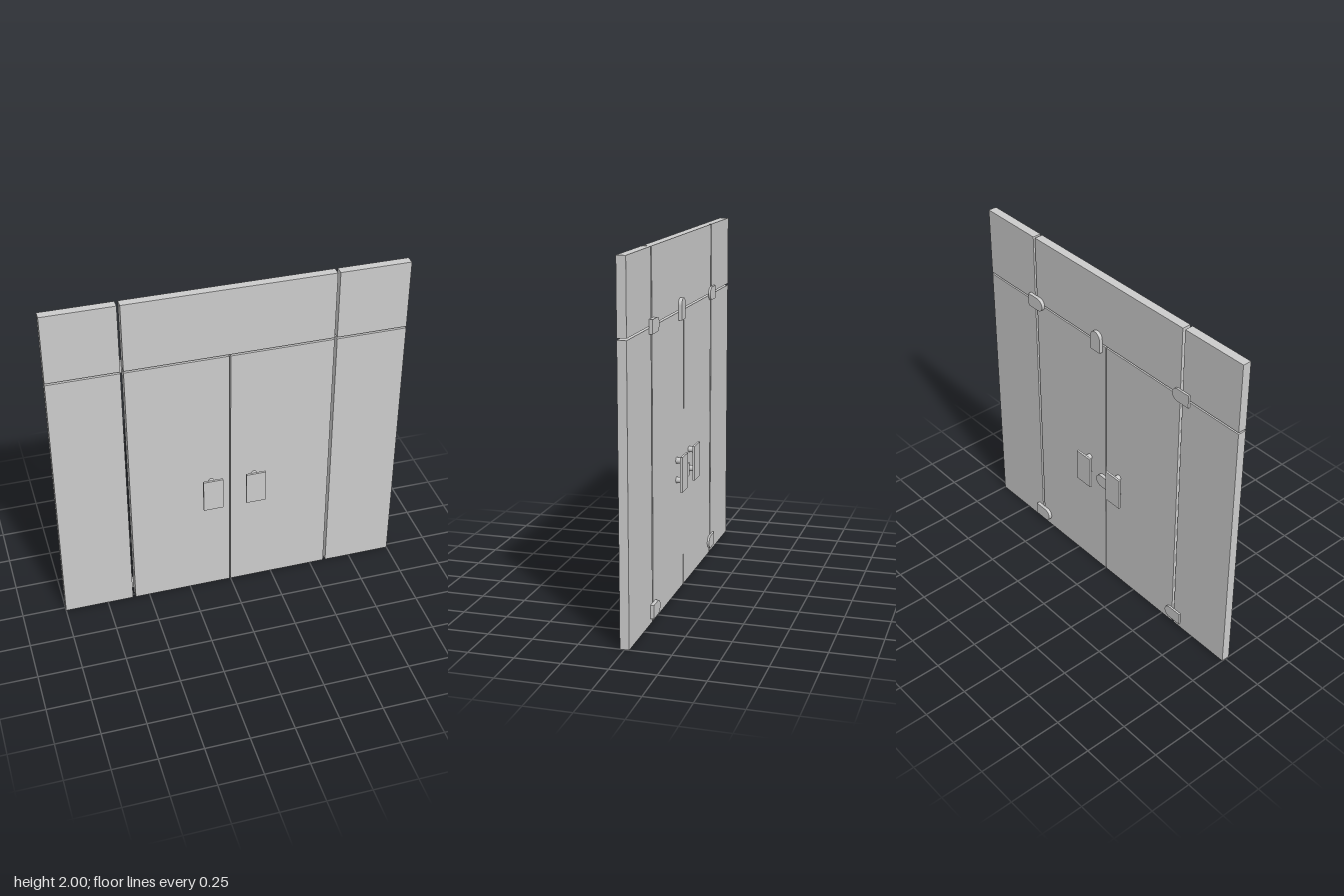
import * as THREE from 'three';

const material = new THREE.MeshStandardMaterial({ color: 0xcccccc });

function add(parent, name, geometry, x, y, z) {
  const mesh = new THREE.Mesh(geometry, material);
  mesh.name = name;
  mesh.position.set(x, y, z);
  parent.add(mesh);
  return mesh;
}

// Flat plate given by its edges
function panel(parent, name, x0, x1, y0, y1, z0, z1) {
  return add(parent, name, new THREE.BoxGeometry(x1 - x0, y1 - y0, z1 - z0),
    (x0 + x1) / 2, (y0 + y1) / 2, (z0 + z1) / 2);
}

// Clamp plate: square at -x, rounded at +x, turned by angle
function clamp(parent, name, x, y, angle, depth) {
  const s = new THREE.Shape();
  s.moveTo(-0.06, -0.038);
  s.lineTo(0.022, -0.038);
  s.absarc(0.022, 0, 0.038, -Math.PI / 2, Math.PI / 2, false);
  s.lineTo(-0.06, 0.038);
  s.closePath();
  const geometry = new THREE.ExtrudeGeometry(s, { depth, bevelEnabled: false, curveSegments: 16 });
  add(parent, name, geometry, x, y, -0.025 - depth).rotation.z = angle;
}

// Front and back grip plates joined by two posts through the glass
function handle(x) {
  const g = new THREE.Group();
  g.name = 'doorHandle';
  g.position.x = x;
  for (const side of [-1, 1]) {
    add(g, 'gripPlate', new THREE.BoxGeometry(0.115, 0.2, 0.013), 0, 0.703, side * 0.0685);
    for (const y of [0.658, 0.77]) {
      add(g, 'handlePost', new THREE.CylinderGeometry(0.017, 0.017, 0.042, 24), 0, y, side * 0.043)
        .rotation.x = Math.PI / 2;
    }
  }
  return g;
}

export function createModel() {
  const model = new THREE.Group();
  model.name = 'glassDoorPartition';

  // Glass panels: lower row of sidelights and doors, upper row of transoms
  const z = 0.025;
  const lower = [['rightSidelight', -1, -0.6], ['rightDoor', -0.583, -0.008],
    ['leftDoor', 0, 0.585], ['leftSidelight', 0.6, 1]];
  const upper = [['rightTransom', -1, -0.6], ['centreTransom', -0.583, 0.585], ['leftTransom', 0.6, 1]];
  for (const [name, x0, x1] of lower) panel(model, name, x0, x1, 0, 1.59, -z, z);
  for (const [name, x0, x1] of upper) panel(model, name, x0, x1, 1.6, 2, -z, z);

  // Hinge clamps on the back, square ends on the fixed glass
  for (const y of [0.068, 1.598]) {
    clamp(model, 'rightHingeClamp', -0.595, y, 0, 0.012);
    clamp(model, 'leftHingeClamp', 0.578, y, Math.PI, 0.02);
  }

  // Locks at the door meeting edge and the transom
  clamp(model, 'centreLock', 0, 0.67, 0, 0.02);
  clamp(model, 'topLock', 0.064, 1.605, Math.PI / 2, 0.02);

  model.add(handle(-0.115), handle(0.137));
  return model;
}
